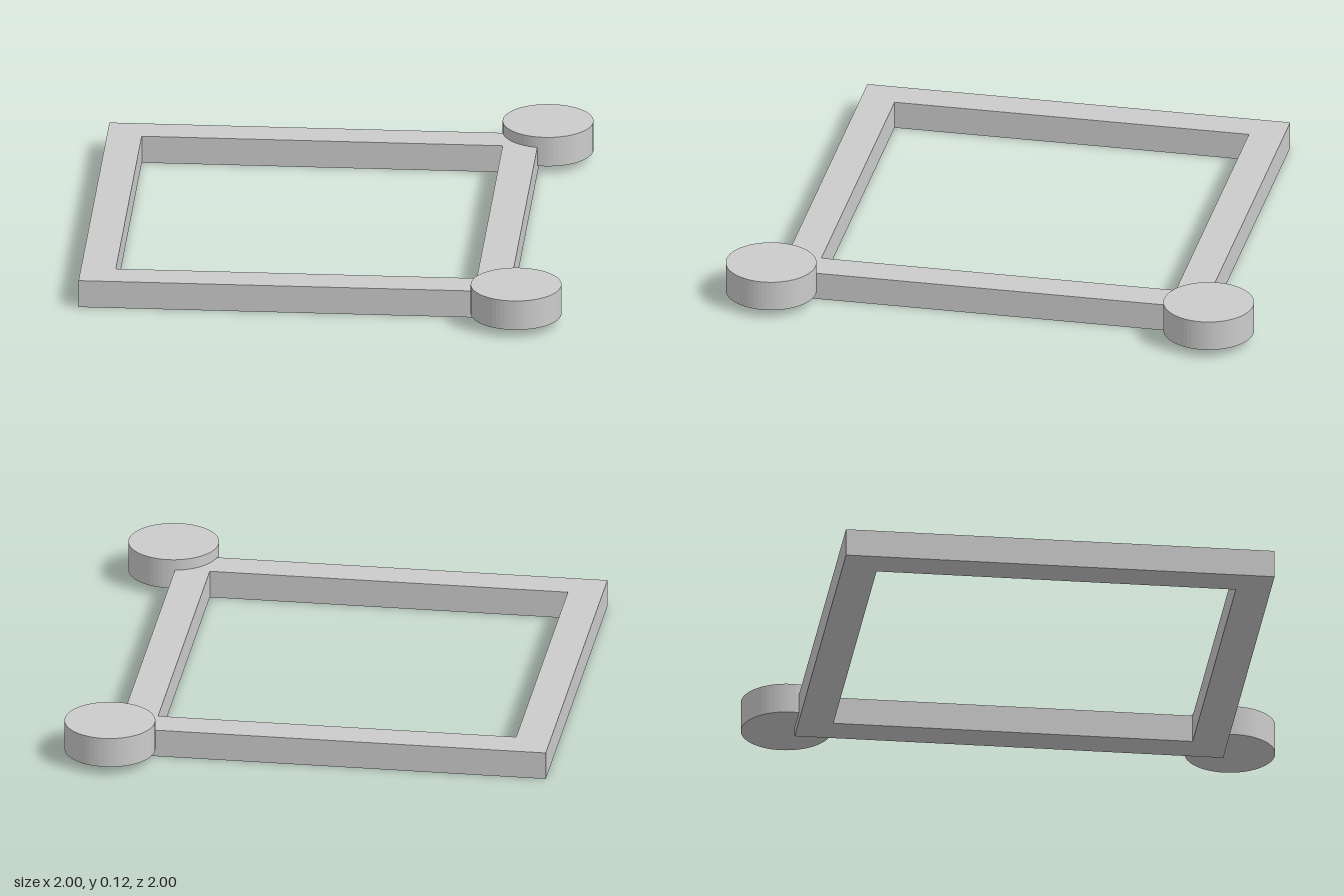
import * as THREE from 'three';

export function createModel() {
  const model = new THREE.Group();
  const material = new THREE.MeshStandardMaterial({ color: 0xcccccc, flatShading: true });
  const cx = -0.084, cz = 0.084;

  const add = (name, geometry, x, y, z) => {
    const mesh = new THREE.Mesh(geometry, material);
    mesh.name = name;
    mesh.position.set(x, y, z);
    model.add(mesh);
  };

  // Square frame standing on its corner in plan, with a square opening
  const diamond = (r) => [[r, 0], [0, r], [-r, 0], [0, -r]].map(([x, y]) => new THREE.Vector2(x, y));
  const outline = new THREE.Shape(diamond(0.914));
  outline.holes.push(new THREE.Path(diamond(0.766).reverse()));
  const frame = new THREE.ExtrudeGeometry(outline, { depth: 0.085, bevelEnabled: false });
  frame.rotateX(-Math.PI / 2);
  add('squareFrame', frame, cx, 0, cz);

  // Round discs on the left and back corners, raised off the ground
  const disc = new THREE.CylinderGeometry(0.136, 0.136, 0.093, 64);
  add('leftDisc', disc, 0.862, 0.0725, cz);
  add('backDisc', disc, cx, 0.0725, -0.862);

  return model;
}
